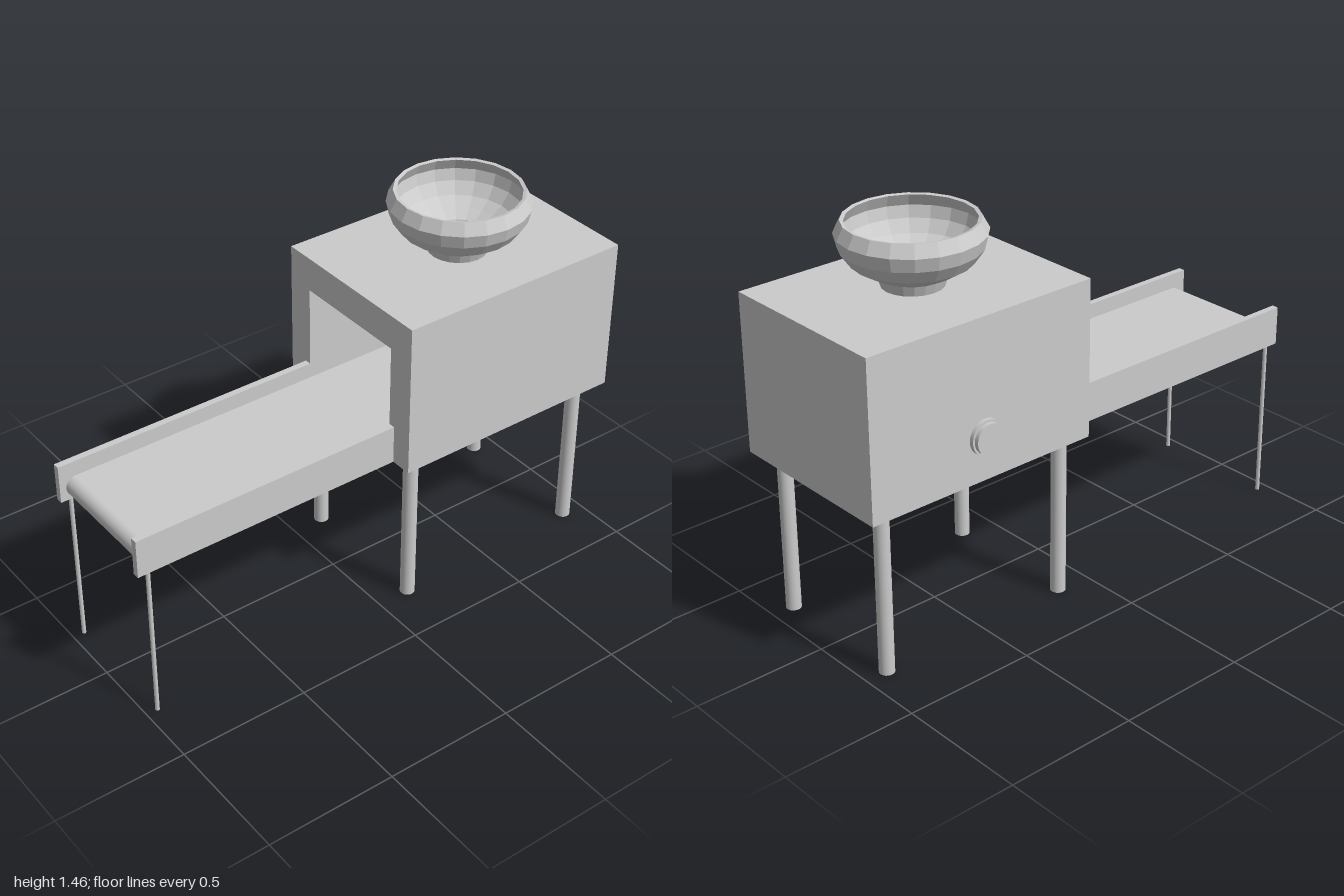
import * as THREE from 'three';

const CX = 0.015; // centre line of the housing and conveyor

export function createModel() {
  const model = new THREE.Group();
  const smooth = new THREE.MeshStandardMaterial({ color: 0xcccccc });
  const faceted = new THREE.MeshStandardMaterial({ color: 0xcccccc, flatShading: true, side: THREE.DoubleSide });

  function add(name, geometry, x = 0, y = 0, z = 0, material = smooth) {
    const mesh = new THREE.Mesh(geometry, material);
    mesh.name = name;
    mesh.position.set(x, y, z);
    model.add(mesh);
    return mesh;
  }

  // Housing: an upside-down U swept along z, closed by a back wall
  const arch = new THREE.Shape([
    [-0.345, 0.625], [-0.235, 0.625], [-0.235, 1.09], [0.235, 1.09],
    [0.235, 0.625], [0.345, 0.625], [0.345, 1.22], [-0.345, 1.22],
  ].map(([x, y]) => new THREE.Vector2(x, y)));
  add('housing', new THREE.ExtrudeGeometry(arch, { depth: 0.88, bevelEnabled: false }), CX, 0, -0.94);
  add('housingBack', new THREE.BoxGeometry(0.69, 0.595, 0.06), CX, 0.9225, -0.97);

  // Conveyor belt: a long loop with rounded ends, swept across x
  const r = 0.04, front = 0.935, back = -0.9;
  const loop = new THREE.Shape();
  loop.moveTo(-front, -r);
  loop.lineTo(-back, -r);
  loop.absarc(-back, 0, r, -Math.PI / 2, Math.PI / 2, false);
  loop.lineTo(-front, r);
  loop.absarc(-front, 0, r, Math.PI / 2, Math.PI * 1.5, false);
  const beltGeometry = new THREE.ExtrudeGeometry(loop, { depth: 0.47, bevelEnabled: false, curveSegments: 16 });
  beltGeometry.translate(0, 0, -0.235).rotateY(Math.PI / 2);
  add('conveyorBelt', beltGeometry, CX, 0.675, 0);

  // Side rails, housing legs and thin front supports, mirrored about the centre line
  for (const side of [-1, 1]) {
    add('sideRail', new THREE.BoxGeometry(0.026, 0.15, 1.06), CX + side * 0.248, 0.7, 0.47);
    add('frontSupport', new THREE.CylinderGeometry(0.008, 0.008, 0.64, 12), CX + side * 0.248, 0.32, 0.955);
    for (const z of [-0.133, -0.912]) {
      add('leg', new THREE.CylinderGeometry(0.028, 0.028, 0.86, 24), CX + side * 0.27, 0.43, z);
    }
  }

  // Hopper bowl: outer wall up, over the rim, and back down the inside
  const profile = [
    [0.11, 1.22], [0.122, 1.258], [0.168, 1.282], [0.212, 1.31], [0.247, 1.36],
    [0.259, 1.41], [0.235, 1.455], [0.222, 1.452], [0.243, 1.408], [0.232, 1.365],
    [0.2, 1.322], [0.16, 1.297], [0.112, 1.27], [0.095, 1.225], [0, 1.225],
  ].map(([x, y]) => new THREE.Vector2(x, y));
  add('hopperBowl', new THREE.LatheGeometry(profile, 20), 0.03, 0, -0.53, faceted);

  // Control knob on the right wall
  function disc(name, radius, x0, x1) {
    const g = new THREE.CylinderGeometry(radius, radius, x1 - x0, 24).rotateZ(Math.PI / 2);
    add(name, g, (x0 + x1) / 2, 0.79, -0.53);
  }
  disc('knobCollar', 0.065, -0.346, -0.325);
  disc('knobCap', 0.057, -0.362, -0.34);

  return model;
}
